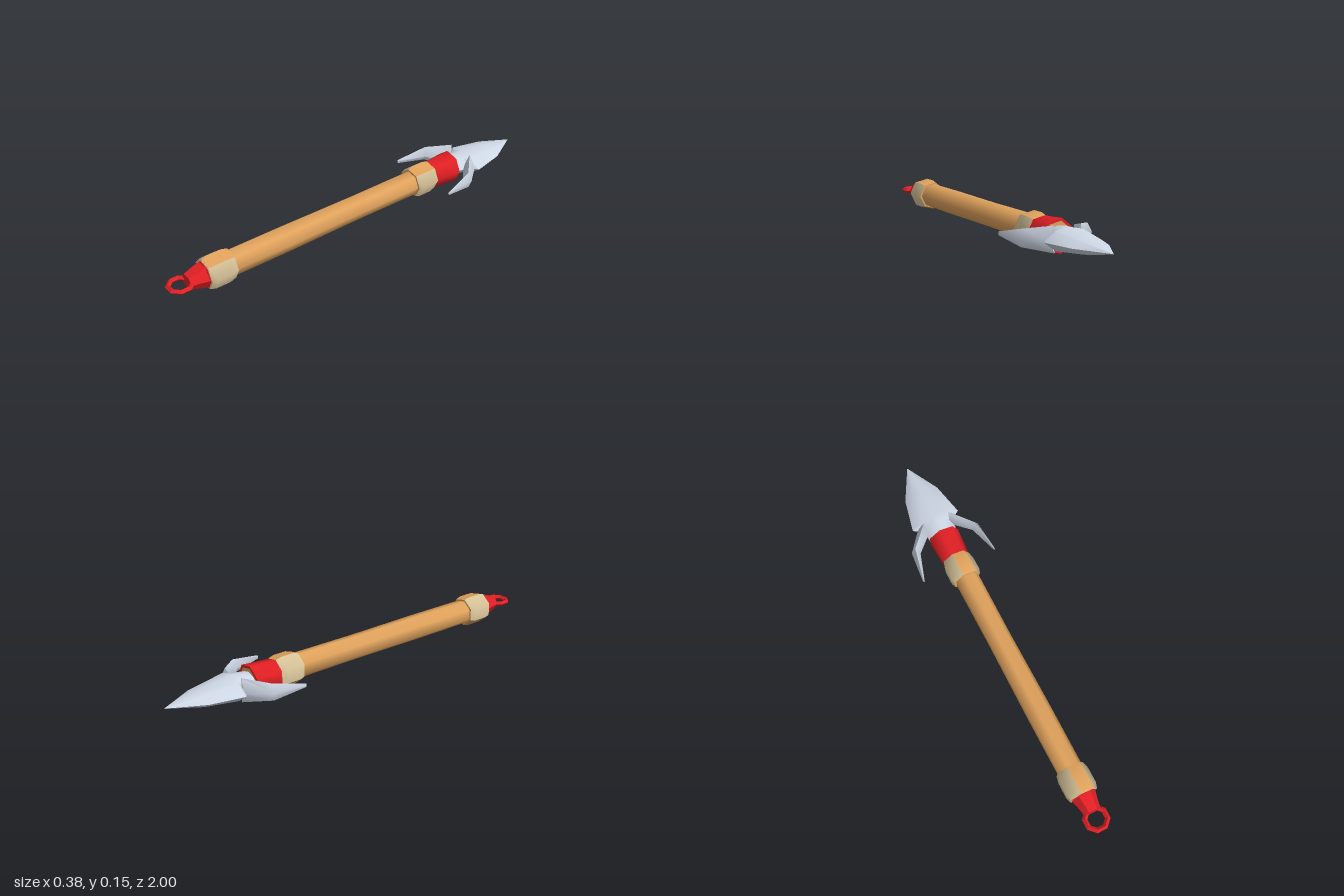
import * as THREE from 'three';
import { toCreasedNormals } from 'three/addons/utils/BufferGeometryUtils.js';

const CY = 0.08; // height of the spear axis

// Skin over rings of [x, y, z], ordered from +z to -z, each counter-clockwise seen from +z
function loft(rings, { crease = 0.1, capStart = true, capEnd = true, faces = null } = {}) {
  const n = rings[0].length, last = (rings.length - 1) * n, index = [];
  for (let i = 0; i < rings.length - 1; i++) {
    for (let j = 0; j < n; j++) {
      if (faces && !faces.includes(j)) continue;
      const k = (j + 1) % n, a = i * n + j, b = i * n + k;
      index.push(a, a + n, b, b, a + n, b + n);
    }
  }
  for (let j = 1; j < n - 1; j++) {
    if (capStart) index.push(0, j, j + 1);
    if (capEnd) index.push(last, last + j + 1, last + j);
  }
  const g = new THREE.BufferGeometry();
  g.setAttribute('position', new THREE.Float32BufferAttribute(rings.flat(2), 3));
  g.setIndex(index);
  return toCreasedNormals(g, crease);
}

// Regular polygon ring around the axis
function ring(z, rx, ry = rx, sides = 7) {
  return Array.from({ length: sides }, (_, i) => {
    const a = (i / sides) * Math.PI * 2;
    return [rx * Math.cos(a), CY + ry * Math.sin(a), z];
  });
}

export function createModel() {
  const group = new THREE.Group();
  const material = (name, color) => {
    const m = new THREE.MeshStandardMaterial({ color });
    m.name = name;
    return m;
  };
  const wood = material('wood', 0xe0a25c);
  const binding = material('binding', 0xd6c298);
  const red = material('red', 0xe11f24);
  const steel = material('steel', 0xcdd6e4);
  const add = (name, geometry, mat) => {
    const mesh = new THREE.Mesh(geometry, mat);
    mesh.name = name;
    group.add(mesh);
    return mesh;
  };

  // Seven-sided shaft, softly shaded, a little thinner in the middle
  add('shaft', loft([[0.8, 0.06], [0.4, 0.061], [0, 0.058], [-0.44, 0.06]]
    .map(([z, r]) => ring(z, r)), { crease: 1.0 }), wood);

  // Two bulging collars, pale sides alternating with bare wood
  const collar = (name, z0, z1) => {
    const d = z0 - z1;
    const rings = [[z0, 0.069], [z0 - 0.2 * d, 0.077], [z0 - 0.75 * d, 0.077], [z1, 0.069]]
      .map(([z, r]) => ring(z, r));
    add(name + 'Binding', loft(rings, { crease: 1.0, faces: [0, 2, 3, 6], capStart: false, capEnd: false }), binding);
    add(name + 'Wood', loft(rings, { crease: 1.0, faces: [1, 4, 5] }), wood);
  };
  collar('rearCollar', 0.82, 0.69);
  collar('frontCollar', -0.335, -0.455);

  // Pale rim and red plate closing the rear collar
  add('endRim', loft([ring(0.822, 0.067), ring(0.819, 0.067)]), binding);
  add('endPlate', loft([ring(0.825, 0.062), ring(0.819, 0.062)]), red);

  // Flared red socket with the wooden core showing at its end
  add('socket', loft([ring(-0.45, 0.068), ring(-0.52, 0.072), ring(-0.59, 0.078), ring(-0.59, 0.066)],
    { crease: 1.0, capStart: false, capEnd: false }), red);
  add('socketCore', loft([ring(-0.55, 0.064), ring(-0.588, 0.067)]), wood);

  // Leaf-shaped blade with a lens cross-section
  const lens = [[1, 0], [0.55, 0.75], [0, 1], [-0.55, 0.75], [-1, 0], [-0.55, -0.75], [0, -1], [0.55, -0.75]];
  const blade = [[-0.585, 0.07, 0.045], [-0.65, 0.075, 0.055], [-0.68, 0.121, 0.054],
    [-0.84, 0.086, 0.034], [-1, 0.001, 0.001]];
  add('blade', loft(blade.map(([z, w, h]) => lens.map(([x, y]) => [x * w, CY + y * h, z])),
    { crease: 0.7 }), steel);

  // Curved barbs swept back from the blade: outer, top, inner, bottom corners
  const barb = [
    [[0.191, 0.08, -0.42], [0.187, 0.088, -0.417], [0.183, 0.08, -0.415], [0.187, 0.071, -0.417]],
    [[0.176, 0.081, -0.575], [0.156, 0.122, -0.57], [0.139, 0.08, -0.555], [0.164, 0.045, -0.57]],
    [[0.095, 0.081, -0.675], [0.064, 0.142, -0.665], [0.055, 0.08, -0.635], [0.06, 0.026, -0.665]],
  ];
  add('leftBarb', loft(barb, { crease: 1.2 }), steel);
  add('rightBarb', loft(barb.map(r => r.map(([x, y, z]) => [-x, y, z]).reverse()), { crease: 1.2 }), steel);

  // Six-sided tapering pommel
  add('pommel', loft([ring(0.905, 0.04, 0.034, 6), ring(0.87, 0.046, 0.047, 6), ring(0.81, 0.062, 0.063, 6)],
    { crease: 0.6 }), red);

  // Flat-lying eight-sided ring
  const loop = new THREE.TorusGeometry(0.051, 0.0125, 4, 8).rotateX(Math.PI / 2).rotateY(Math.PI / 8);
  const eye = add('endRing', toCreasedNormals(loop, 0.1), red);
  eye.position.set(0, CY, 0.938);

  return group;
}
